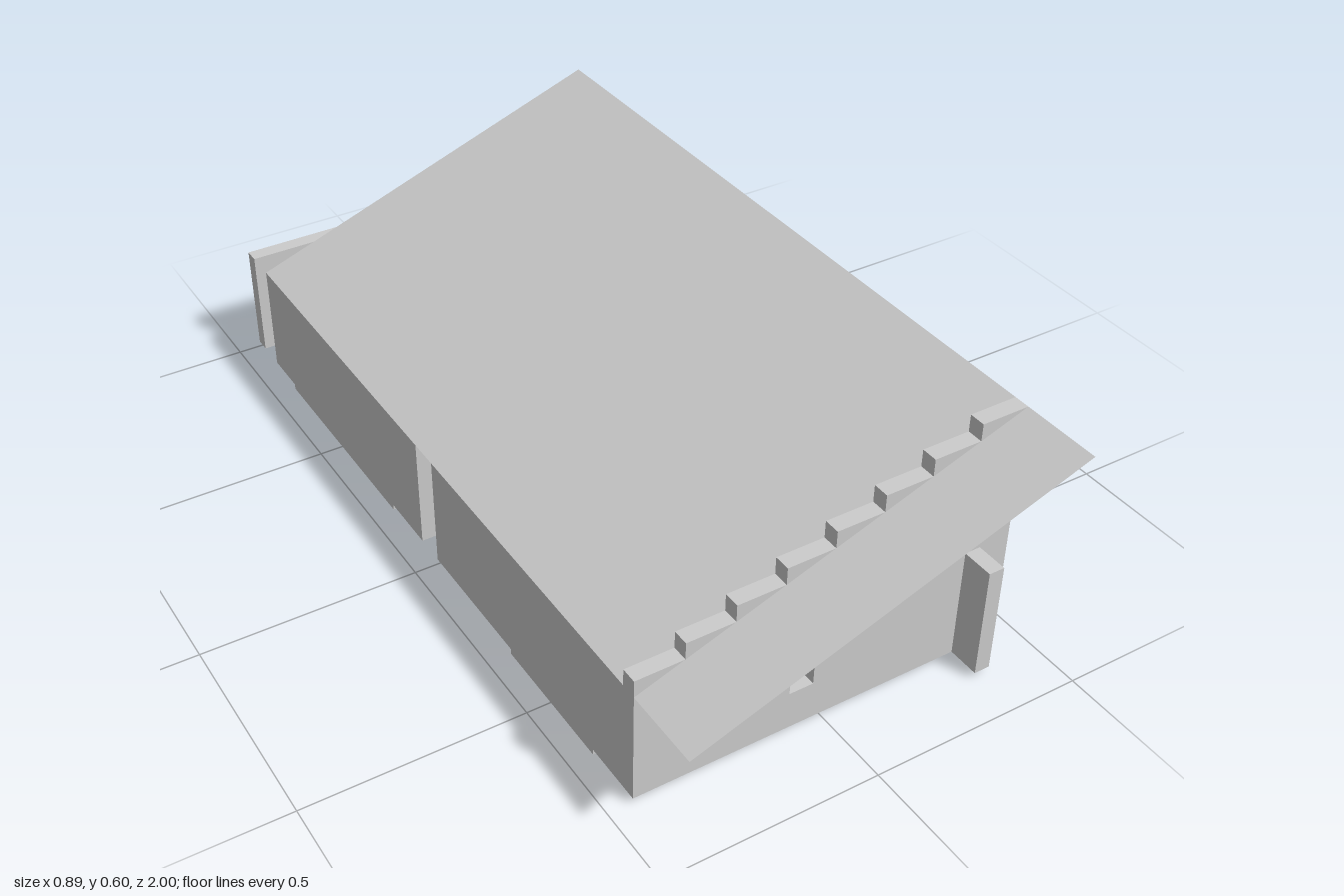
import * as THREE from 'three';

const U = 1 / 9;        // grid module
const T = U / 3;        // wall thickness
const W = 4 * U;        // half width
const BASE = 0.0133;    // floor plate thickness
const EAVE = 0.28, RIDGE = 0.6;

export function createModel() {
  const group = new THREE.Group();
  const mat = new THREE.MeshStandardMaterial({ color: 0xcccccc, flatShading: true });

  const add = (name, geometry, material = mat) => {
    const mesh = new THREE.Mesh(geometry, material);
    mesh.name = name;
    group.add(mesh);
    return mesh;
  };

  // Box given by its limits on each axis
  const block = (name, x0, x1, y0, y1, z0, z1) =>
    add(name, new THREE.BoxGeometry(x1 - x0, y1 - y0, z1 - z0))
      .position.set((x0 + x1) / 2, (y0 + y1) / 2, (z0 + z1) / 2);

  // Upright gable wall with a window, extruded towards +z
  const windowWall = (name, outline, z) => {
    const shape = new THREE.Shape(outline.map(([x, y]) => new THREE.Vector2(x, y)));
    const hole = [[-0.085, 0.105], [-0.085, 0.214], [-0.028, 0.214], [-0.028, 0.105]];
    shape.holes.push(new THREE.Path(hole.map(([x, y]) => new THREE.Vector2(x, y))));
    add(name, new THREE.ExtrudeGeometry(shape, { depth: T, bevelEnabled: false })).position.z = z;
  };

  // Front wall: top rises in eight steps towards +x
  const stepped = [[-W, BASE], [W, BASE]];
  for (let i = 7; i >= 0; i--) {
    const y = 0.32 + i * 0.04;
    stepped.push([-W + (i + 1) * U, y], [-W + i * U, y]);
  }
  windowWall('frontWall', stepped, 7 * U);

  // Back wall: plain top
  windowWall('backWall', [[-W, BASE], [W, BASE], [W, EAVE], [-W, EAVE]], -1);

  // Cross wall and side walls
  block('middleWall', -W, W, BASE, EAVE, -U, -U + T);
  block('leftFrontWall', -W, -W + T, BASE, EAVE, 0, 7 * U);
  block('leftBackWall', -W, -W + T, BASE, EAVE, -8 * U, -U);
  block('rightFrontWall', 3 * U, 3 * U + T, BASE, EAVE, 0, 8 * U);
  block('rightBackWall', 3 * U, 3 * U + T, BASE, EAVE, -8 * U, -U);

  // Floor plates in grid modules: x0, x1, z0, z1
  const plates = [
    [-4, -3, 3, 6],
    [-4, -3, -7, -2],
    [3, 4, -8, -7],
    [1, 2, -8, -7],
  ];
  plates.forEach(([x0, x1, z0, z1], i) =>
    block('floorPlate' + (i + 1), x0 * U, x1 * U, 0, BASE, z0 * U, z1 * U));

  // Main floor plate with one corner cut out (shape y becomes -z)
  const floor = new THREE.Shape(
    [[-2, -6], [2, -6], [2, 0], [0, 0], [0, -1], [-2, -1]].map(([x, y]) => new THREE.Vector2(x * U, y * U)));
  add('mainFloorPlate', new THREE.ExtrudeGeometry(floor, { depth: BASE, bevelEnabled: false }).rotateX(-Math.PI / 2));

  // Thin sloping roof sheet
  const rise = RIDGE - EAVE;
  const sheet = new THREE.PlaneGeometry(Math.hypot(2 * W, rise), 17 * U)
    .rotateX(-Math.PI / 2)
    .rotateZ(Math.atan2(rise, 2 * W));
  const roofMat = mat.clone();
  roofMat.side = THREE.DoubleSide;
  add('roof', sheet, roofMat).position.set(0, (EAVE + RIDGE) / 2, U / 2);

  return group;
}
